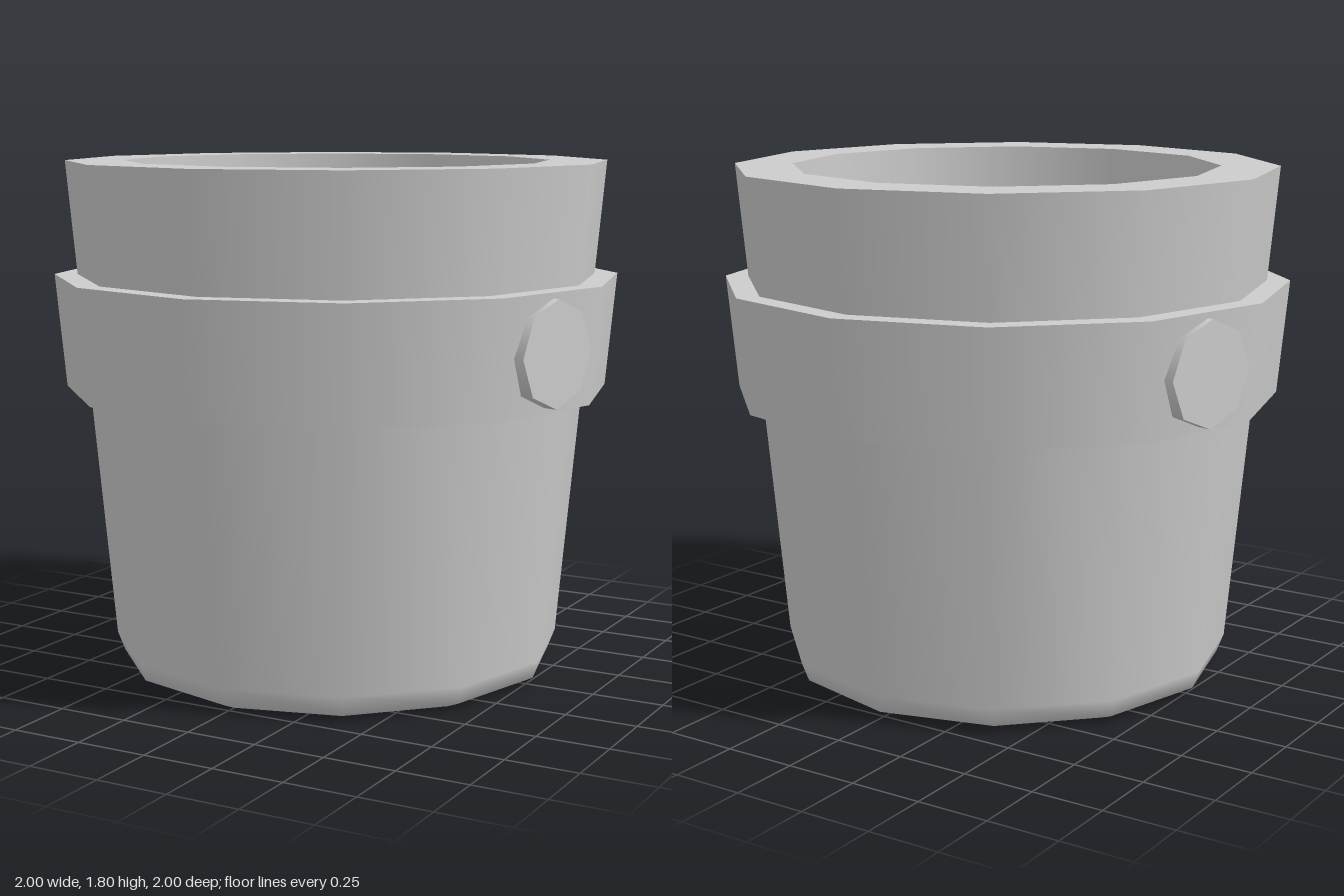
import * as THREE from 'three';

const SIDES = 12;

export function createModel() {
  const model = new THREE.Group();
  const grey = new THREE.MeshStandardMaterial({ color: 0xcccccc });

  // Each section is smooth along its profile; separate sections meet in sharp edges
  function turned(name, sections) {
    const part = new THREE.Group();
    part.name = name;
    sections.forEach(([label, ...points]) => {
      const profile = points.map(([r, y]) => new THREE.Vector2(r, y));
      const mesh = new THREE.Mesh(new THREE.LatheGeometry(profile, SIDES), grey);
      mesh.name = label;
      part.add(mesh);
    });
    model.add(part);
  }

  // Tapered pail with a rounded foot, thick rim and hollow inside
  turned('bucket', [
    ['outerWall', [0, 0], [0.70, 0], [0.715, 0], [0.775, 0.025], [0.80, 0.09], [0.955, 1.8]],
    ['rim', [0.955, 1.8], [0.75, 1.8]],
    ['innerWall', [0.75, 1.8], [0.69, 0.2]],
    ['innerFloor', [0.69, 0.2], [0, 0.2]],
  ]);

  // Raised band around the pail
  turned('band', [
    ['bandUnderside', [0.86, 1], [0.963, 1]],
    ['bandOuter', [0.963, 1], [1, 1.4]],
    ['bandTop', [1, 1.4], [0.90, 1.4]],
  ]);

  // Octagonal handle bolts on two opposite facets of the band
  const boltGeometry = new THREE.CylinderGeometry(0.18, 0.18, 0.08, 8).rotateZ(-Math.PI / 2);
  ['leftBolt', 'rightBolt'].forEach((name, i) => {
    const pivot = new THREE.Group();
    pivot.name = name;
    pivot.rotation.y = -Math.PI / 12 + i * Math.PI;
    const bolt = new THREE.Mesh(boltGeometry, grey);
    bolt.name = name + 'Disc';
    bolt.position.set(0.945, 1.2, 0);
    pivot.add(bolt);
    model.add(pivot);
  });

  return model;
}
